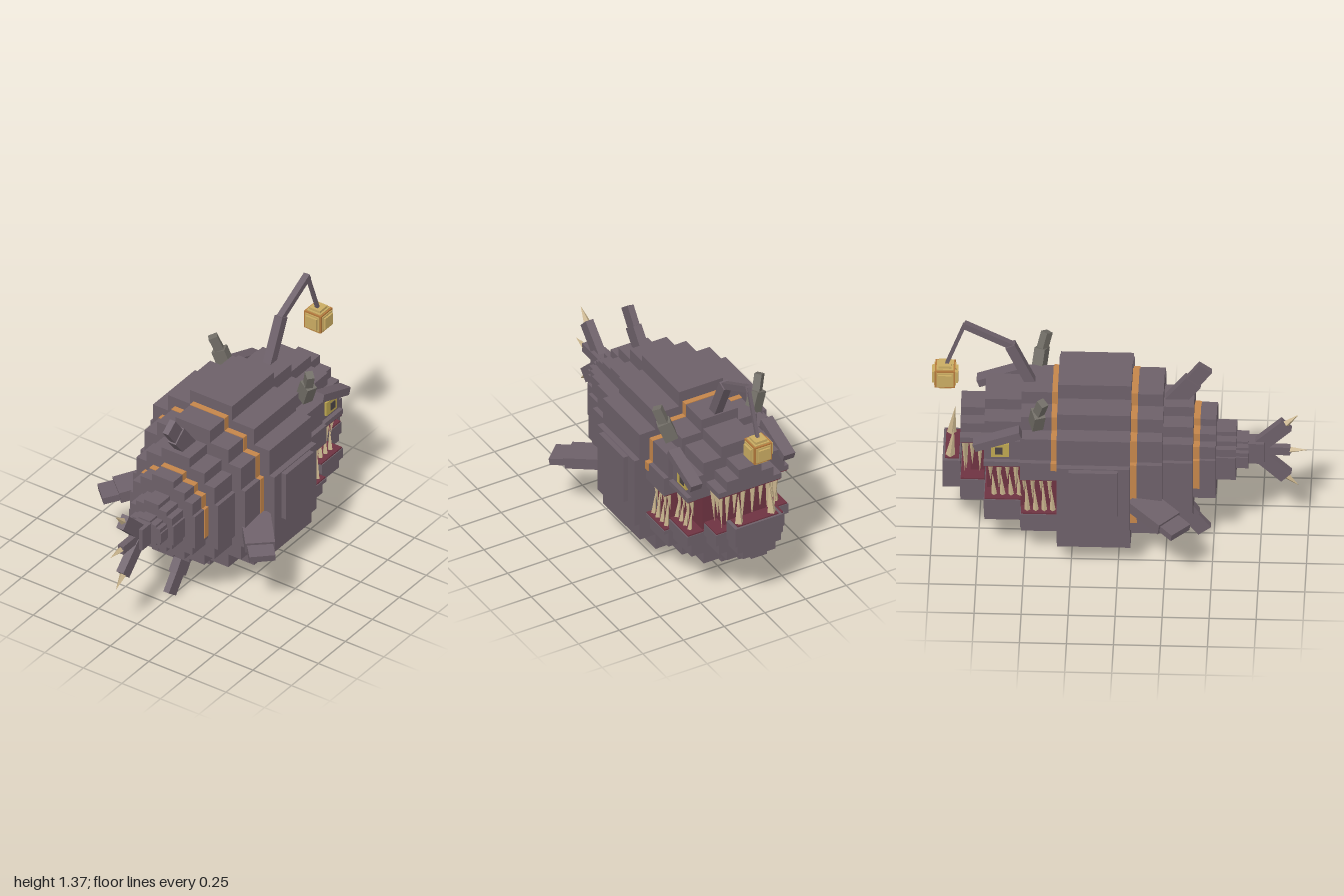
import * as THREE from 'three';

const mat = (name, color) => Object.assign(new THREE.MeshStandardMaterial({ color, flatShading: true }), { name });
const CY = 0.572; // height of the body axis
// Stepped cross-section: half width, bottom and top, from widest to narrowest
const STEPS = [[1, -0.54, 0.3], [0.92, -0.74, 0.62], [0.68, -0.93, 0.82], [0.33, -1, 1]];

export function createModel() {
  const M = {
    skin: mat('mauve skin', 0x6d6069), horn: mat('grey horn', 0x716d66),
    band: mat('orange band', 0xc4854a), mouth: mat('mouth red', 0x6e3341),
    tooth: mat('ivory', 0xc8b38c), glow: mat('lantern yellow', 0xc9ab62),
    rim: mat('lantern amber', 0xb67a3c), eye: mat('eye yellow', 0xbda650), pupil: mat('pupil', 0x4b4446),
  };
  const root = new THREE.Group();
  root.name = 'anglerfish';

  const add = (name, geo, m) => {
    const mesh = new THREE.Mesh(geo, m);
    mesh.name = name;
    root.add(mesh);
    return mesh;
  };
  const box = (name, m, w, h, d, x, y, z) => {
    const b = add(name, new THREE.BoxGeometry(w, h, d), m);
    b.position.set(x, y, z);
    return b;
  };
  // Box running from a to b
  const beam = (name, m, w, h, a, b) => {
    const p = new THREE.Vector3(...a), q = new THREE.Vector3(...b);
    const mesh = box(name, m, w, h, p.distanceTo(q), 0, 0, 0);
    mesh.position.copy(p).add(q).multiplyScalar(0.5);
    mesh.lookAt(q);
    return mesh;
  };
  // Four-sided spike from base a to tip b
  const spike = (name, r, a, b) => {
    const p = new THREE.Vector3(...a), q = new THREE.Vector3(...b);
    const s = add(name, new THREE.ConeGeometry(r, p.distanceTo(q), 4), M.tooth);
    s.position.copy(p).add(q).multiplyScalar(0.5);
    s.quaternion.setFromUnitVectors(new THREE.Vector3(0, 1, 0), q.sub(p).normalize());
  };
  // Stepped slab between z0 and z1, optionally cut off below lo or above hi
  const slab = (name, m, hw, hh, z0, z1, lo = -9, hi = 9) => {
    const rows = STEPS.map(([w, a, b]) => [w * hw, Math.max(CY + a * hh, lo), Math.min(CY + b * hh, hi)])
      .filter(([, a, b]) => b - a > 0.001);
    const side = [];
    for (let i = rows.length - 1; i >= 0; i--) {
      side.push([rows[i][0], rows[i][1]]);
      if (i) side.push([rows[i][0], rows[i - 1][1]]);
    }
    rows.forEach(([w, , b], i) => {
      if (i) side.push([w, rows[i - 1][2]]);
      side.push([w, b]);
    });
    const all = [...side, ...side.slice().reverse().map(([x, y]) => [-x, y])];
    const pts = all.filter((p, i) => !i || Math.hypot(p[0] - all[i - 1][0], p[1] - all[i - 1][1]) > 1e-5);
    const geo = new THREE.ExtrudeGeometry(new THREE.Shape(pts.map(p => new THREE.Vector2(...p))),
      { depth: z1 - z0, bevelEnabled: false });
    geo.translate(0, 0, z0);
    return add(name, geo, m);
  };

  // Trunk, tapering to the tail
  [[0.41, 0.502, -0.325, 0.065], [0.34, 0.433, 0.065, 0.235], [0.275, 0.337, 0.235, 0.395],
    [0.21, 0.243, 0.395, 0.515], [0.145, 0.145, 0.515, 0.62], [0.11, 0.073, 0.62, 0.685]]
    .forEach(([w, h, a, b]) => slab('trunk', M.skin, w, h, a, b));

  // Orange bands between segments
  slab('rearBand', M.band, 0.344, 0.437, 0.065, 0.1, 0.3);
  slab('headBand', M.band, 0.344, 0.437, -0.357, -0.325, 0.655);
  slab('tailBand', M.band, 0.214, 0.247, 0.395, 0.43, 0.46);

  // Head and lower jaw: half width, half height, z range, jaw top, palate, inner mouth width and front
  [[0.34, 0.433, -0.52, -0.325, 0.36, 0.59, 0.27, -0.52],
    [0.31, 0.373, -0.715, -0.52, 0.43, 0.655, 0.21, -0.7],
    [0.21, 0.29, -0.845, -0.715, 0.485, 0.72, 0.13, -0.79]].forEach(([w, h, a, b, jaw, palate, iw, front]) => {
    slab('head', M.skin, w, h, a, b, palate);
    slab('lowerJaw', M.skin, w, h, a, b, -9, jaw);
    slab('palate', M.mouth, w - 0.005, h, a + 0.004, b, palate - 0.008, palate);
    slab('gum', M.mouth, w - 0.005, h, a + 0.004, b, jaw, jaw + 0.008);
    box('mouthLining', M.mouth, iw * 2, palate - jaw, b - front, 0, (palate + jaw) / 2, (b + front) / 2);
  });
  slab('chin', M.skin, 0.145, 0.237, -0.94, -0.845, -9, 0.56);
  box('chinGum', M.mouth, 0.25, 0.008, 0.075, 0, 0.563, -0.89);

  for (const s of [-1, 1]) {
    // Side plate
    box('sidePlate', M.skin, 0.04, 0.29, 0.26, s * 0.42, 0.572, -0.13);

    // Cheek teeth, upper and lower
    [-0.365, -0.41, -0.455, -0.5].forEach((z, i) => {
      spike('upperTooth', 0.016, [s * 0.3, 0.59, z], [s * 0.29, 0.42 + (i % 2) * 0.05, z]);
      spike('lowerTooth', 0.016, [s * 0.305, 0.36, z + 0.018], [s * 0.295, 0.52 + (i % 2) * 0.04, z + 0.008]);
    });
    [-0.545, -0.59, -0.635, -0.68].forEach((z, i) => {
      spike('upperTooth', 0.018, [s * 0.265, 0.655, z], [s * 0.255, 0.46 + (i % 2) * 0.06, z]);
      spike('lowerTooth', 0.016, [s * 0.265, 0.43, z + 0.02], [s * 0.255, 0.57, z + 0.01]);
    });
    [-0.74, -0.78, -0.82].forEach((z, i) =>
      spike('upperTooth', 0.017, [s * 0.17, 0.72, z], [s * 0.16, 0.5 + (i % 2) * 0.05, z]));
    // Front teeth
    [0.03, 0.08, 0.125].forEach((x, i) =>
      spike('frontTooth', 0.018, [s * x, 0.72, -0.82], [s * x, 0.49 + (i % 2) * 0.06, -0.81]));
    spike('fang', 0.026, [s * 0.1, 0.56, -0.9], [s * 0.095, 0.74, -0.88]);

    // Eye with pupil, under a slanted brow
    box('eye', M.eye, 0.02, 0.085, 0.095, s * 0.288, 0.75, -0.628);
    box('pupil', M.pupil, 0.008, 0.045, 0.04, s * 0.298, 0.748, -0.635);
    beam('brow', M.skin, 0.07, 0.045, [s * 0.285, 0.865, -0.52], [s * 0.285, 0.775, -0.765]);

    // Two-piece horn
    beam('horn', M.horn, 0.06, 0.075, [s * 0.25, 0.89, -0.44], [s * 0.29, 1.0, -0.425]);
    beam('hornTip', M.horn, 0.042, 0.05, [s * 0.285, 0.99, -0.425], [s * 0.315, 1.085, -0.4]);

    // Pectoral fin
    beam('pectoralFin', M.skin, 0.16, 0.065, [s * 0.31, 0.455, 0.1], [s * 0.465, 0.415, 0.275]);
    beam('pectoralFinTip', M.skin, 0.14, 0.04, [s * 0.44, 0.42, 0.25], [s * 0.525, 0.4, 0.34]);
  }

  // Dorsal and belly fins
  beam('dorsalFin', M.skin, 0.05, 0.1, [0, 0.88, 0.28], [0, 1.02, 0.39]);
  beam('dorsalFinTip', M.skin, 0.036, 0.085, [0, 1.0, 0.375], [0, 1.11, 0.455]);
  beam('bellyFin', M.skin, 0.05, 0.11, [0, 0.28, 0.27], [0, 0.12, 0.38]);
  beam('bellyFinTip', M.skin, 0.036, 0.085, [0, 0.14, 0.365], [0, 0.03, 0.45]);

  // Tail stalk, three rays and their spikes
  box('tailStalk', M.skin, 0.09, 0.13, 0.085, 0, CY, 0.725);
  box('tailRay', M.skin, 0.036, 0.05, 0.15, 0, CY, 0.83);
  spike('tailSpike', 0.02, [0, CY, 0.9], [0, CY, 1]);
  for (const s of [-1, 1]) {
    beam('tailRay', M.skin, 0.046, 0.08, [0, CY + s * 0.03, 0.74], [0, CY + s * 0.17, 0.885]);
    spike('tailSpike', 0.022, [0, CY + s * 0.165, 0.875], [0, CY + s * 0.235, 0.95]);
  }

  // Lure stalk and lantern
  beam('lureBase', M.skin, 0.05, 0.055, [0, 0.97, -0.465], [0, 1.235, -0.585]);
  beam('lureArm', M.skin, 0.036, 0.035, [0, 1.225, -0.57], [0, 1.36, -0.83]);
  beam('lureLine', M.skin, 0.018, 0.018, [0, 1.365, -0.825], [0, 1.09, -0.925]);
  box('lanternCore', M.rim, 0.108, 0.108, 0.108, 0, 1.03, -0.93);
  for (const [w, h, d] of [[0.14, 0.07, 0.07], [0.07, 0.145, 0.07], [0.07, 0.07, 0.14],
    [0.118, 0.09, 0.09], [0.09, 0.118, 0.09], [0.09, 0.09, 0.118]])
    box('lanternGlow', M.glow, w, h, d, 0, 1.03, -0.93);

  return root;
}
